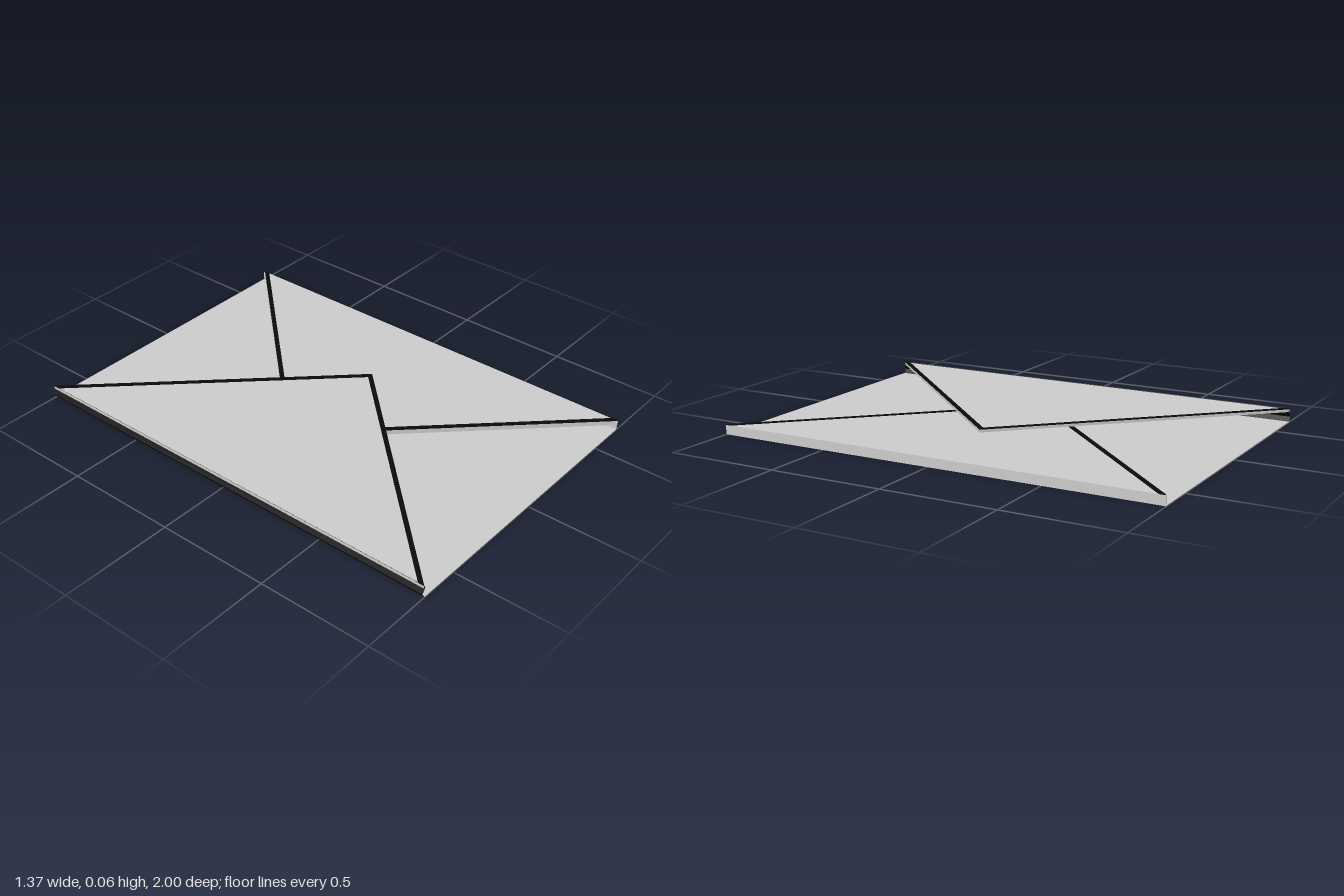
import * as THREE from 'three';

const grey = new THREE.MeshStandardMaterial({ color: 0xcccccc, flatShading: true, side: THREE.DoubleSide });
const black = new THREE.MeshStandardMaterial({ color: 0x0a0a0a, flatShading: true, side: THREE.DoubleSide });

// Flat plate lying in the xz plane from an outline of [x, z] points
function plate(name, outline, y0, y1, material) {
  const shape = new THREE.Shape(outline.map(([x, z]) => new THREE.Vector2(x, -z)));
  const geometry = new THREE.ExtrudeGeometry(shape, { depth: y1 - y0, bevelEnabled: false });
  geometry.rotateX(-Math.PI / 2).translate(0, y0, 0);
  const mesh = new THREE.Mesh(geometry, material);
  mesh.name = name;
  return mesh;
}

// Triangular flap hinged on the side at x = base, with a dark border along both slanted edges
function flap(name, base, tip, y0, y1) {
  const group = new THREE.Group();
  group.name = name;
  const w = 0.028 * Math.sign(tip - base);
  const inset = Math.abs(w);
  group.add(plate(name + 'Panel', [[base, 1], [tip, 0], [base, -1]], y0, y1 - 0.003, grey));
  group.add(plate(name + 'Border', [
    [base, 1], [tip, 0], [base, -1],
    [base, -1 + inset], [tip - w, 0], [base, 1 - inset],
  ], y1 - 0.003, y1, black));
  return group;
}

export function createModel() {
  const model = new THREE.Group();
  model.name = 'envelope';

  // Back sheet, which also shows as the two end triangles
  model.add(plate('backSheet', [[-0.675, 1], [0.675, 1], [0.675, -1], [-0.675, -1]], 0, 0.003, grey));

  // Lower flap folded in from +x, and its upright side wall
  model.add(flap('lowerFlap', 0.678, -0.285, 0.022, 0.045));
  const wall = new THREE.Mesh(new THREE.BoxGeometry(0.004, 0.042, 2), grey);
  wall.name = 'sideWall';
  wall.position.set(0.673, 0.021, 0);
  model.add(wall);

  // Closing flap on top
  model.add(flap('closingFlap', -0.682, 0.275, 0.045, 0.06));

  // Creased fold joining the closing flap to the back sheet
  const fold = [[-0.675, 0], [-0.69, 0.022], [-0.675, 0.045], [-0.682, 0.06]];
  const points = fold.flatMap(([x, y]) => [x, y, 1, x, y, -1]);
  const index = [];
  for (let i = 0; i < fold.length - 1; i++) {
    const a = i * 2;
    index.push(a, a + 2, a + 1, a + 1, a + 2, a + 3);
  }
  const foldGeometry = new THREE.BufferGeometry();
  foldGeometry.setAttribute('position', new THREE.Float32BufferAttribute(points, 3));
  foldGeometry.setIndex(index);
  foldGeometry.computeVertexNormals();
  const foldMesh = new THREE.Mesh(foldGeometry, black);
  foldMesh.name = 'foldedEdge';
  model.add(foldMesh);

  return model;
}
